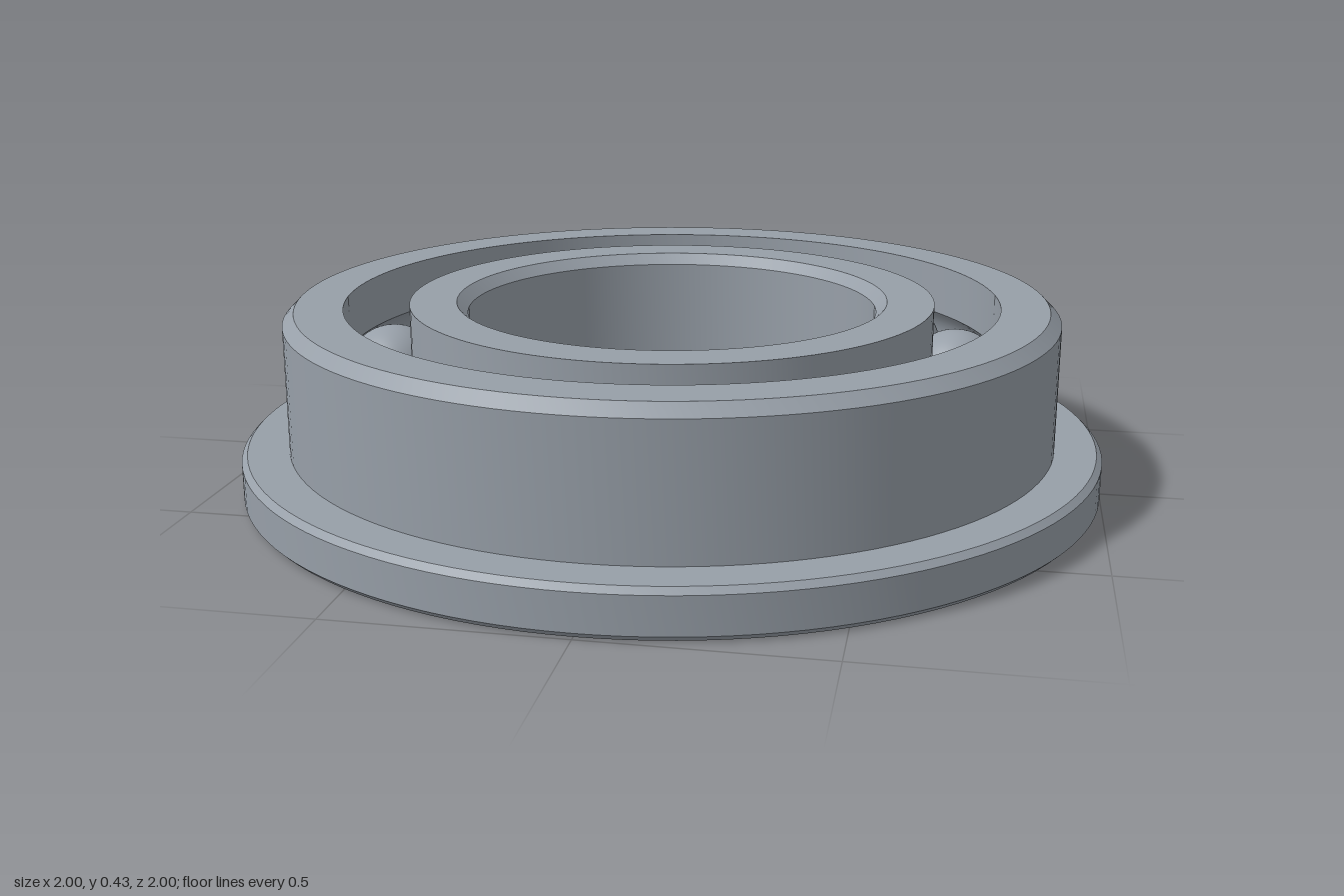
import * as THREE from 'three';
import { toCreasedNormals } from 'three/addons/utils/BufferGeometryUtils.js';

const HEIGHT = 0.425;
const MID = HEIGHT / 2;
const PITCH = 0.683;       // radius of the circle of ball centres
const BALL = 0.115;
const BALL_COUNT = 13;
const SEGMENTS = 128;

// Raceway arc cut into a ring wall at the given radius; side +1 is the outer ring, -1 the inner
function groove(wallRadius, side) {
  const r = BALL + 0.002;
  const half = Math.acos(Math.abs(wallRadius - PITCH) / r);
  const steps = 14;
  const points = [];
  for (let i = 0; i <= steps; i++) {
    const a = half - (2 * half * i) / steps;
    points.push([PITCH + side * r * Math.cos(a), MID + side * r * Math.sin(a)]);
  }
  return points;
}

// Closed counter-clockwise profile turned around the y axis
function ring(name, profile, material) {
  const points = [...profile, profile[0]].map(([x, y]) => new THREE.Vector2(x, y));
  const geometry = toCreasedNormals(new THREE.LatheGeometry(points, SEGMENTS), 0.45);
  const mesh = new THREE.Mesh(geometry, material);
  mesh.name = name;
  return mesh;
}

export function createModel() {
  const steel = new THREE.MeshStandardMaterial({ color: 0x979fa8 });
  steel.name = 'steel';
  const model = new THREE.Group();
  model.name = 'flangedBallBearing';

  // Outer ring with flange and chamfered rims
  model.add(ring('outerRing', [
    [0.757, 0], [0.987, 0], [1, 0.013], [1, 0.095], [0.987, 0.108],
    [0.893, 0.108], [0.893, HEIGHT - 0.026], [0.867, HEIGHT],
    [0.757, HEIGHT], ...groove(0.757, 1),
  ], steel));

  // Inner ring with chamfered bore
  model.add(ring('innerRing', [
    [0.5, 0], [0.608, 0], ...groove(0.608, -1), [0.608, HEIGHT],
    [0.5, HEIGHT], [0.475, HEIGHT - 0.025], [0.475, 0.025],
  ], steel));

  // Balls
  const balls = new THREE.Group();
  balls.name = 'balls';
  const ballGeometry = new THREE.SphereGeometry(BALL, 40, 28);
  for (let i = 0; i < BALL_COUNT; i++) {
    const a = THREE.MathUtils.degToRad(12.1) + (i * Math.PI * 2) / BALL_COUNT;
    const ball = new THREE.Mesh(ballGeometry, steel);
    ball.name = 'ball';
    ball.position.set(PITCH * Math.cos(a), MID, PITCH * Math.sin(a));
    balls.add(ball);
  }
  model.add(balls);
  return model;
}
